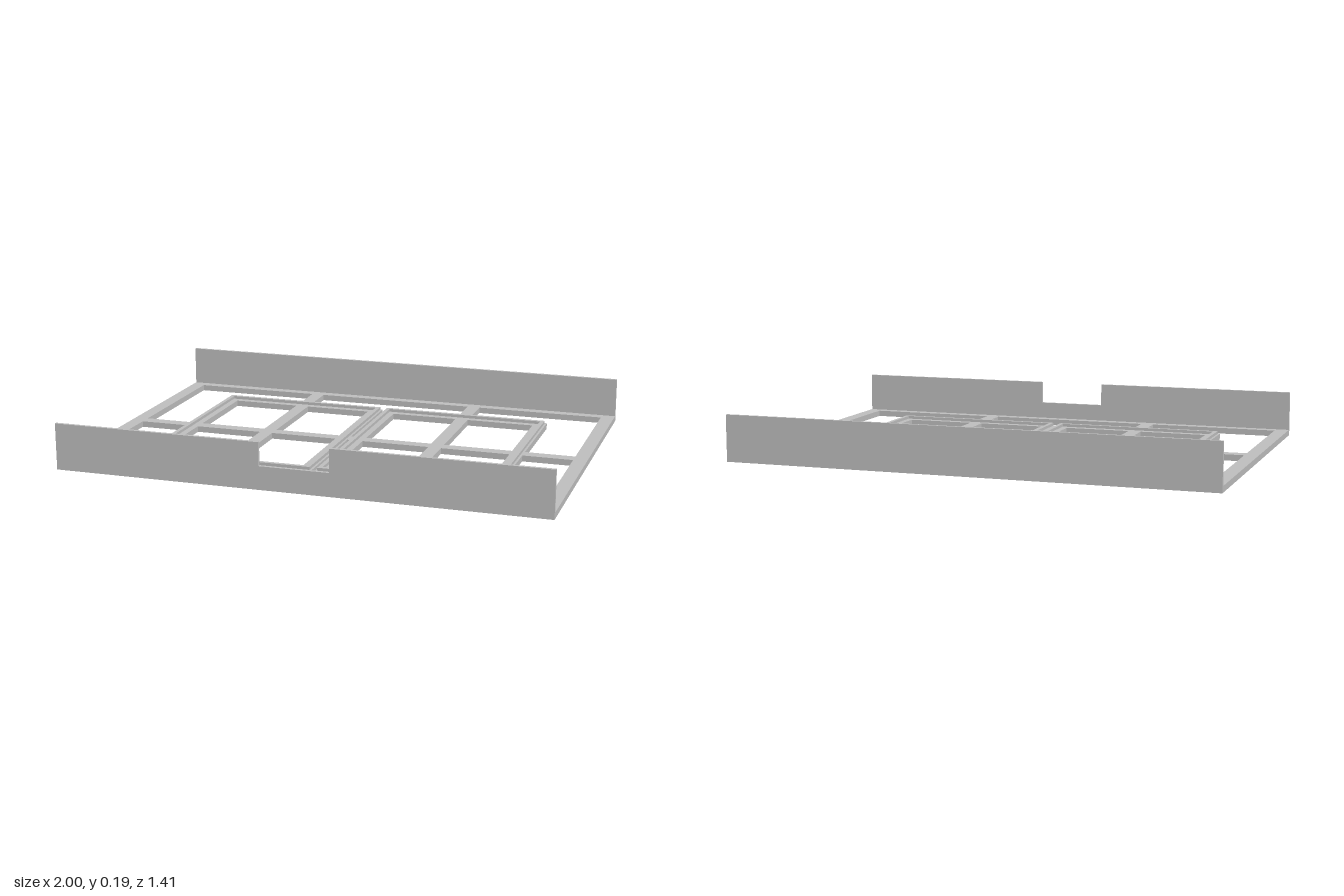
import * as THREE from 'three';

const W = 2, D = 1.408, T = 0.025; // overall width, depth, lattice thickness
const H = 0.19, WALL = 0.013;      // wall height and thickness

const grey = new THREE.MeshStandardMaterial({ color: 0xc0c0c0 });
grey.name = 'light grey';

function rectPoints(w, d) {
  return [[-w, -d], [w, -d], [w, d], [-w, d]].map(([x, y]) => new THREE.Vector2(x / 2, y / 2));
}

// Flat rectangular ring lying on the ground plane, y0 to y0 + h
function ring(name, w, d, bx, bz, h, x = 0, y0 = 0) {
  const shape = new THREE.Shape(rectPoints(w, d));
  shape.holes.push(new THREE.Path(rectPoints(w - 2 * bx, d - 2 * bz).reverse()));
  const geo = new THREE.ExtrudeGeometry(shape, { depth: h, bevelEnabled: false });
  geo.rotateX(-Math.PI / 2);
  const mesh = new THREE.Mesh(geo, grey);
  mesh.name = name;
  mesh.position.set(x, y0, 0);
  return mesh;
}

function bar(name, w, d, x) {
  const mesh = new THREE.Mesh(new THREE.BoxGeometry(w, T, d), grey);
  mesh.name = name;
  mesh.position.set(x, T / 2, 0);
  return mesh;
}

// Upright wall, optionally with a notch in its top edge
function wall(name, z, notched) {
  const pts = [[-W / 2, 0], [W / 2, 0], [W / 2, H]];
  if (notched) pts.push([0.142, H], [0.142, 0.095], [-0.142, 0.095], [-0.142, H]);
  pts.push([-W / 2, H]);
  const shape = new THREE.Shape(pts.map(([x, y]) => new THREE.Vector2(x, y)));
  const mesh = new THREE.Mesh(new THREE.ExtrudeGeometry(shape, { depth: WALL, bevelEnabled: false }), grey);
  mesh.name = name;
  mesh.position.z = z;
  return mesh;
}

export function createModel() {
  const model = new THREE.Group();
  model.name = 'tray';

  // Base lattice
  model.add(ring('outerFrame', W, D, 0.056, 0.054, T));
  model.add(bar('crossBar', W - 0.112, 0.052, 0));

  // Two inner frames, each with a raised lip and a bar beneath
  for (const [side, s] of [['left', 1], ['right', -1]]) {
    const x = s * 0.372;
    model.add(bar(side + 'LongBar', 0.055, D - 0.108, s * 0.37));
    model.add(ring(side + 'InnerFrame', 0.73, 0.966, 0.053, 0.053, T, x));
    model.add(ring(side + 'Lip', 0.712, 0.954, 0.017, 0.017, 0.012, x, T));
  }

  // Front and back walls
  model.add(wall('frontWall', D / 2 - WALL, true));
  model.add(wall('backWall', -D / 2, false));
  return model;
}
